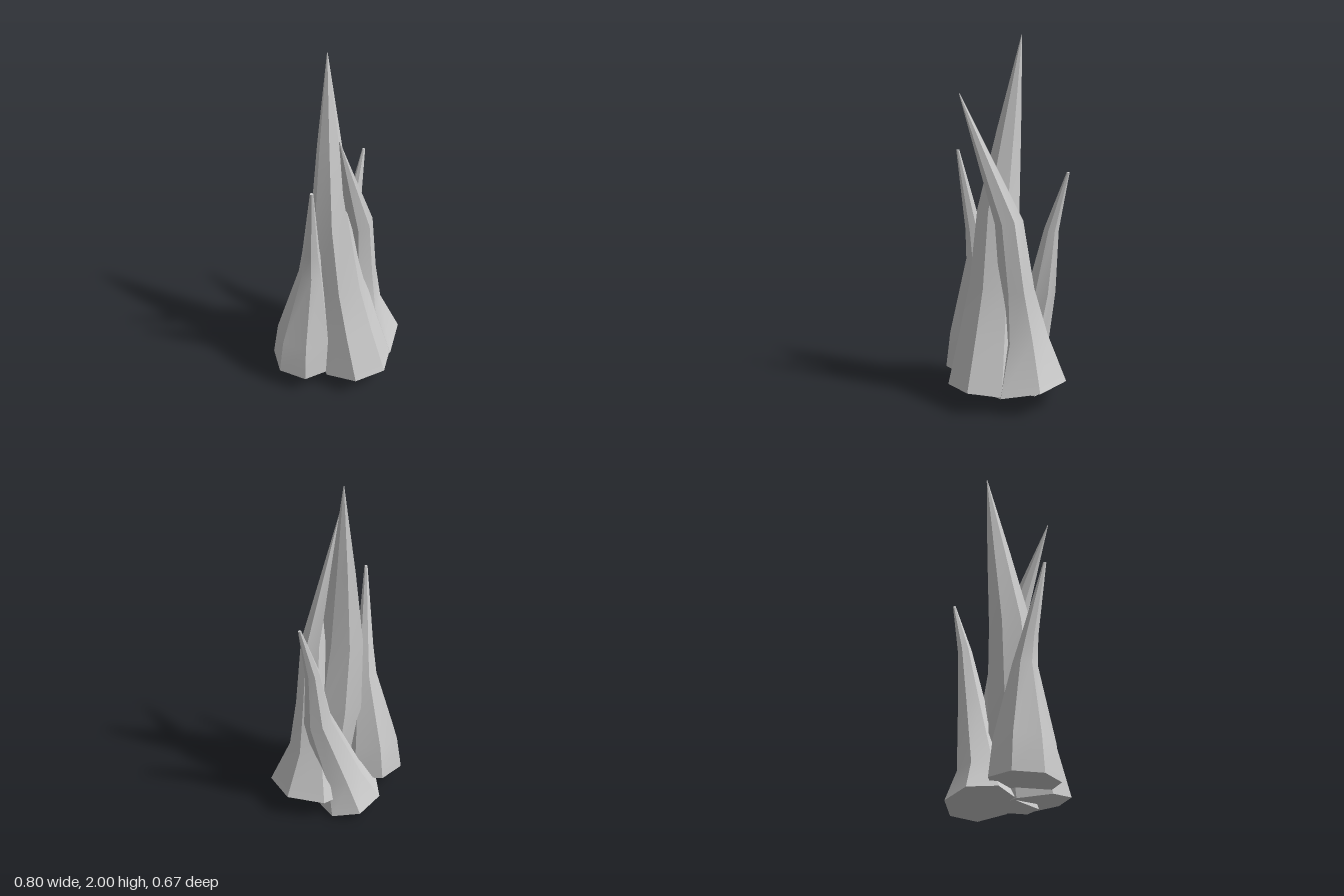
import * as THREE from 'three';
import { toCreasedNormals } from 'three/addons/utils/BufferGeometryUtils.js';

const SIDES = 7;

// Each spike: rings of [x, y, z, radius] from base to tip, the angle of the
// first corner in degrees, and the slope of the rings along x and z.
const SPIKES = [
  {
    name: 'tallFrontSpike', phase: 115.7, slope: [0.02, 0.16],
    rings: [[0.05, 0.085, 0.14, 0.214], [0.02, 0.36, 0.085, 0.18], [-0.005, 0.63, 0.035, 0.15],
      [-0.03, 1.05, 0, 0.118], [-0.013, 1.5, -0.06, 0.066], [0.01, 2, -0.125, 0.002]],
  },
  {
    name: 'rightCrossingSpike', phase: 15.4, slope: [0.14, -0.1],
    rings: [[0.163, 0.1, -0.03, 0.245], [0.15, 0.37, -0.035, 0.142], [0.145, 0.64, 0, 0.096],
      [0.117, 1.02, 0.035, 0.078], [-0.09, 1.7, 0.212, 0.002]],
  },
  {
    name: 'backLeaningSpike', phase: -90, slope: [-0.25, 0],
    rings: [[-0.02, 0.045, -0.155, 0.185], [0.03, 0.22, -0.14, 0.125], [0.165, 0.63, -0.152, 0.078],
      [0.203, 0.97, -0.187, 0.04], [0.283, 1.285, -0.232, 0.008]],
  },
  {
    name: 'leftSpike', phase: 166, slope: [0, -0.04],
    rings: [[-0.215, 0.115, 0.013, 0.188], [-0.208, 0.32, 0.015, 0.165], [-0.175, 0.76, 0.035, 0.07],
      [-0.185, 0.93, 0.06, 0.047], [-0.213, 1.378, 0.143, 0.009]],
  },
];

// Lofts the rings into a closed, tapering seven-sided horn.
function spikeGeometry({ rings, phase, slope }) {
  const points = [], index = [];
  for (const [x, y, z, r] of rings) {
    for (let j = 0; j < SIDES; j++) {
      const a = THREE.MathUtils.degToRad(phase) + (j / SIDES) * Math.PI * 2;
      const dx = r * Math.cos(a), dz = r * Math.sin(a);
      points.push(x + dx, y + slope[0] * dx + slope[1] * dz, z + dz);
    }
  }
  const last = rings.length - 1;
  const base = points.length / 3, tip = base + 1;
  points.push(...rings[0].slice(0, 3), ...rings[last].slice(0, 3));

  for (let j = 0; j < SIDES; j++) {
    const k = (j + 1) % SIDES;
    for (let i = 0; i < last; i++) {
      const lo = i * SIDES, hi = lo + SIDES;
      index.push(lo + j, hi + j, lo + k, hi + j, hi + k, lo + k);
    }
    index.push(base, j, k);
    index.push(tip, last * SIDES + k, last * SIDES + j);
  }
  const geometry = new THREE.BufferGeometry();
  geometry.setAttribute('position', new THREE.Float32BufferAttribute(points, 3));
  geometry.setIndex(index);
  return toCreasedNormals(geometry, 0.7);
}

export function createModel() {
  const group = new THREE.Group();
  group.name = 'spikeCluster';
  const material = new THREE.MeshStandardMaterial({ color: 0xcccccc });
  for (const spike of SPIKES) {
    const mesh = new THREE.Mesh(spikeGeometry(spike), material);
    mesh.name = spike.name;
    group.add(mesh);
  }
  return group;
}
